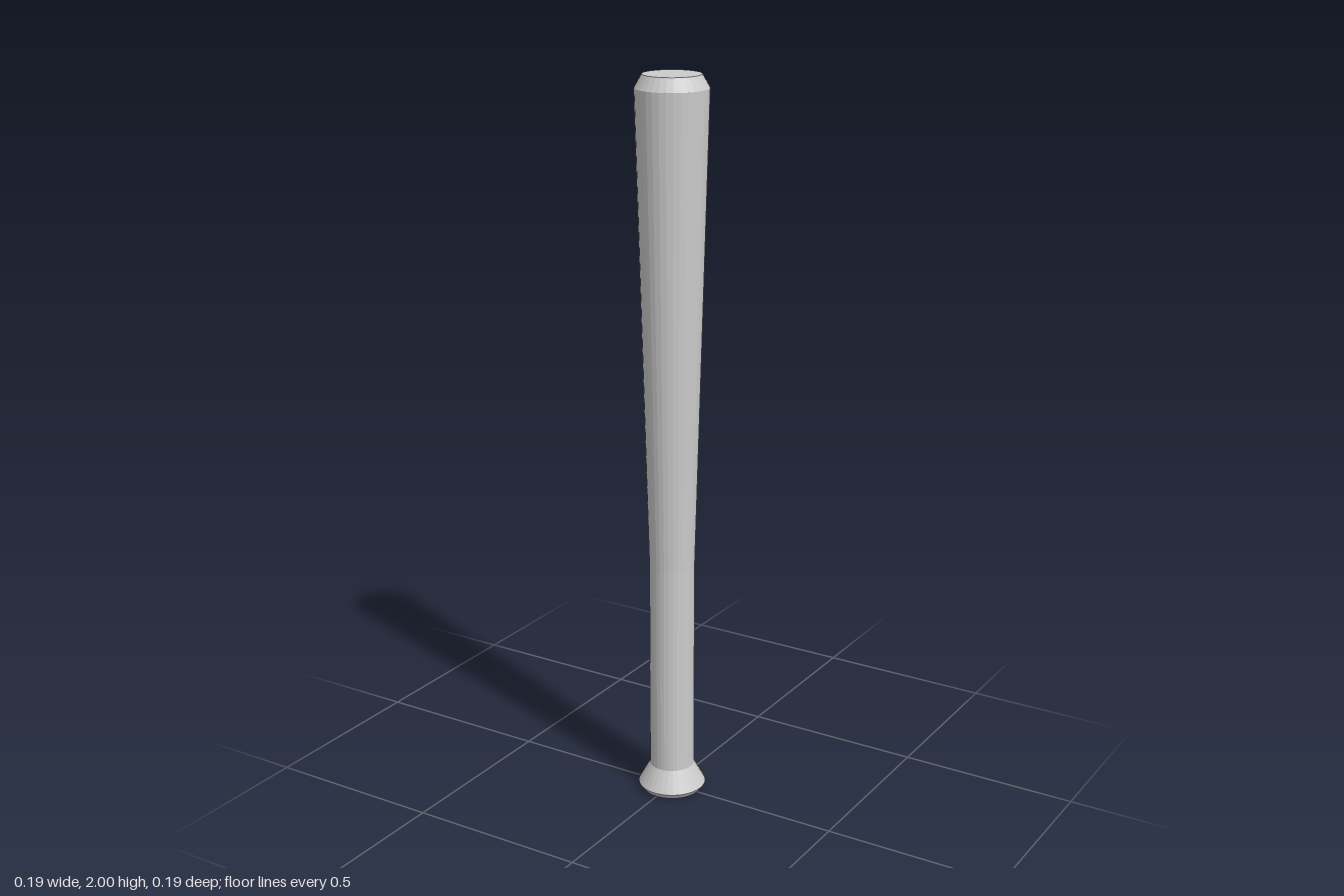
import * as THREE from 'three';

const SIDES = 32;

// Turned part from [radius, height] pairs, listed bottom to top
function turned(name, profile, material) {
  const points = profile.map(([r, y]) => new THREE.Vector2(r, y));
  const mesh = new THREE.Mesh(new THREE.LatheGeometry(points, SIDES), material);
  mesh.name = name;
  return mesh;
}

export function createModel() {
  const material = new THREE.MeshStandardMaterial({ color: 0xcccccc, flatShading: true });
  const bat = new THREE.Group();
  bat.name = 'bat';
  bat.add(
    // flared knob with a bevelled, closed underside
    turned('knob', [[0, 0], [0.083, 0], [0.094, 0.016], [0.062, 0.075]], material),
    // straight grip
    turned('handle', [[0.062, 0.075], [0.062, 0.67]], material),
    // long widening barrel
    turned('barrel', [[0.062, 0.67], [0.097, 1.965]], material),
    // chamfered flat end
    turned('endCap', [[0.097, 1.965], [0.077, 2], [0, 2]], material),
  );
  return bat;
}
